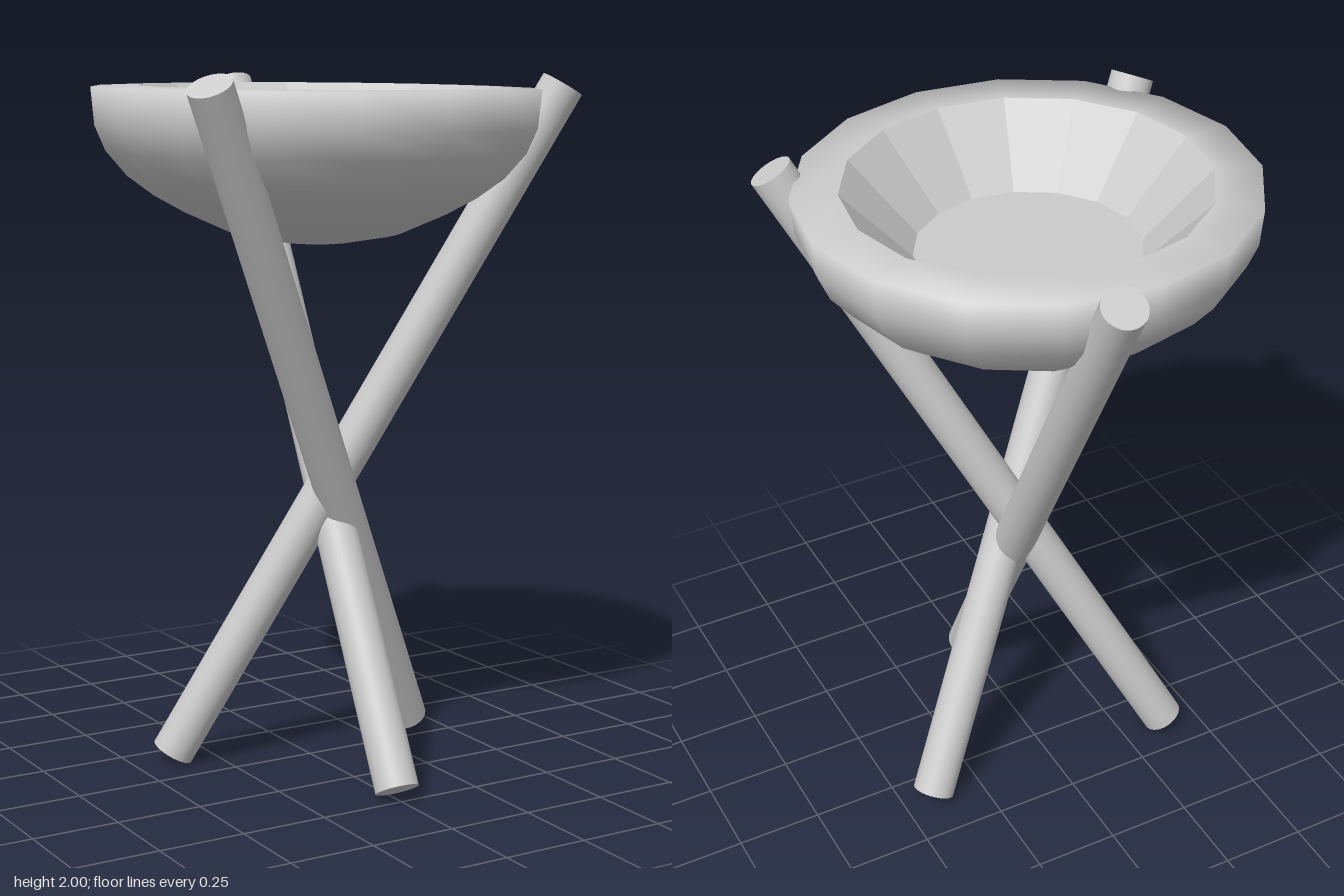
import * as THREE from 'three';

const material = new THREE.MeshStandardMaterial({ color: 0xcccccc });
const facetedMaterial = new THREE.MeshStandardMaterial({ color: 0xcccccc, flatShading: true });
const SIDES = 16;
const TWIST = 0.04; // small turn of the bowl's facets

function lathe(name, profile, mat) {
  const points = profile.map(([r, y]) => new THREE.Vector2(r, y));
  const mesh = new THREE.Mesh(new THREE.LatheGeometry(points, SIDES, TWIST), mat);
  mesh.name = name;
  return mesh;
}

// Round bar between two end centres
function bar(name, bottom, top, radius) {
  const a = new THREE.Vector3(...bottom);
  const b = new THREE.Vector3(...top);
  const axis = b.clone().sub(a);
  const mesh = new THREE.Mesh(new THREE.CylinderGeometry(radius, radius, axis.length(), 32), material);
  mesh.position.copy(a).add(b).multiplyScalar(0.5);
  mesh.quaternion.setFromUnitVectors(new THREE.Vector3(0, 1, 0), axis.normalize());
  mesh.name = name;
  return mesh;
}

export function createModel() {
  const model = new THREE.Group();
  model.name = 'tripodBowlStand';

  // Three crossing legs
  model.add(
    bar('legTopRight', [0.405, 0.033, -0.1], [-0.56, 1.97, 0.45], 0.062),
    bar('legTopLeft', [-0.385, 0.033, -0.14], [0.58, 1.97, 0.41], 0.062),
    bar('legTopBack', [-0.005, 0.033, 0.485], [0.09, 1.97, -0.63], 0.062),
  );

  // Bowl, measured from the centre of its rim and tilted slightly forward
  const bowl = new THREE.Group();
  bowl.name = 'bowl';
  bowl.position.set(-0.005, 1.965, 0.045);
  bowl.rotation.x = 0.014;

  // Smooth outside running over the flat lip
  bowl.add(lathe('bowlOutside', [
    [0, -0.44], [0.1, -0.437], [0.24, -0.412], [0.375, -0.352], [0.46, -0.305],
    [0.535, -0.25], [0.595, -0.18], [0.625, -0.11], [0.635, -0.004], [0.505, 0],
  ], material));

  // Faceted hollow with a flat floor
  bowl.add(lathe('bowlHollow', [[0.505, 0], [0.315, -0.2]], facetedMaterial));
  bowl.add(lathe('bowlFloor', [[0.315, -0.2], [0, -0.2]], facetedMaterial));
  model.add(bowl);

  return model;
}
